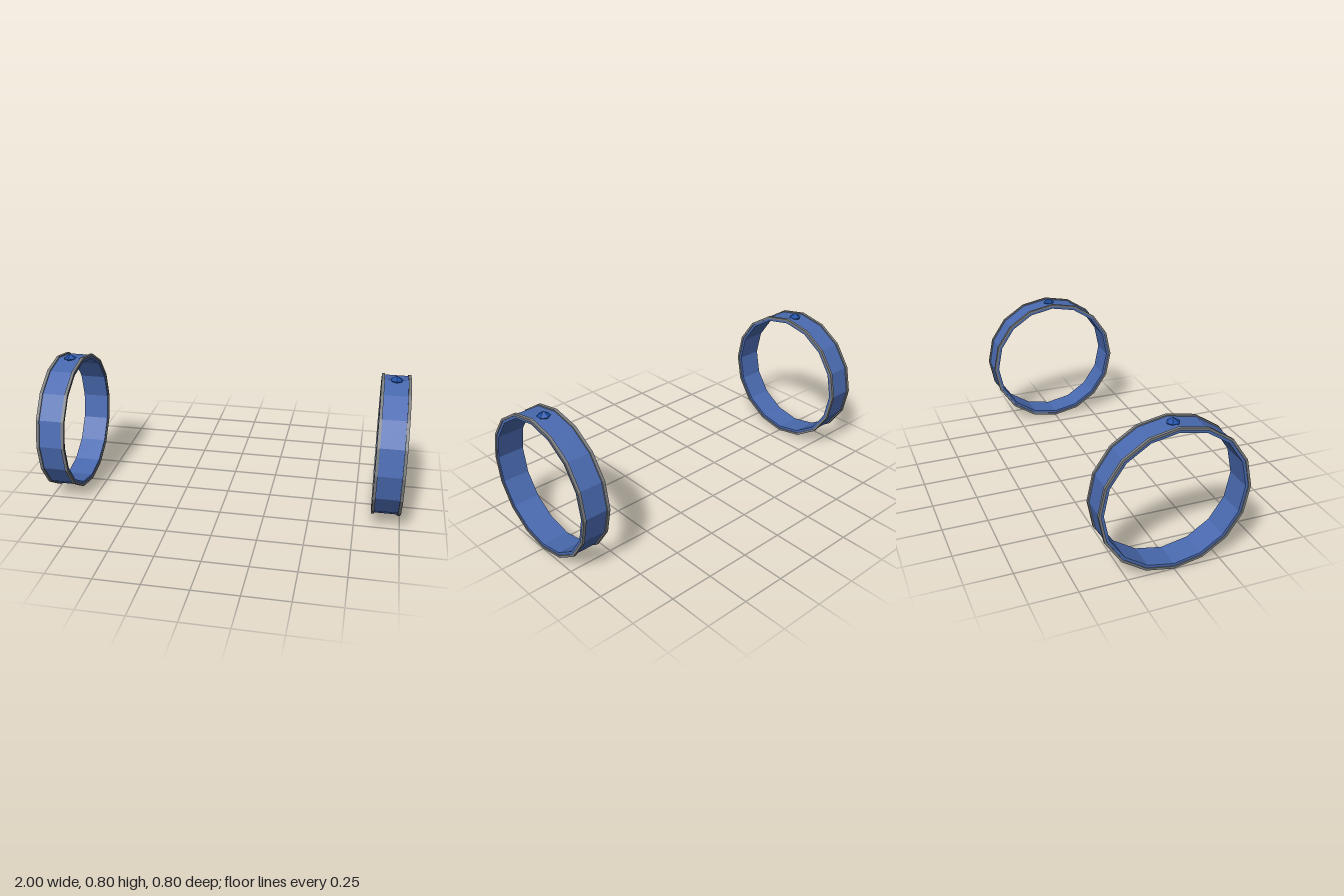
import * as THREE from 'three';

const SIDES = 16;
const CENTER_Y = 0.3935;

// Faceted ring about the x axis with a rectangular section, slightly squashed in y
function hoop(name, inner, outer, x0, x1, material) {
  const profile = [[outer, x0], [outer, x1], [inner, x1], [inner, x0], [outer, x0]]
    .map(([r, x]) => new THREE.Vector2(r, x));
  const geometry = new THREE.LatheGeometry(profile, SIDES);
  geometry.rotateZ(-Math.PI / 2);
  geometry.scale(1, 0.977, 1);
  const mesh = new THREE.Mesh(geometry, material);
  mesh.name = name;
  mesh.position.y = CENTER_Y;
  return mesh;
}

export function createModel() {
  const paint = (color) => new THREE.MeshStandardMaterial({ color, flatShading: true });
  const blue = paint(0x4a6ab0);
  const grey = paint(0x7a7d80);
  const gemBlue = paint(0x1a4fa8);

  const model = new THREE.Group();
  model.name = 'pairOfBands';

  for (const side of [1, -1]) {
    const ring = new THREE.Group();
    ring.name = side > 0 ? 'leftBand' : 'rightBand';
    ring.position.x = side * 0.9205;

    // Wide band with a raised rim along each edge
    ring.add(hoop('band', 0.372, 0.393, -0.075, 0.075, blue));
    ring.add(hoop('outerRim', 0.387, 0.4, 0.063, 0.0795, grey));
    ring.add(hoop('innerRim', 0.387, 0.4, -0.0795, -0.063, grey));

    // Small faceted gem set in the top of the band
    const gemProfile = [[0, 0.762], [0.026, 0.762], [0.035, 0.779], [0, 0.803]]
      .map(([r, y]) => new THREE.Vector2(r, y));
    const gem = new THREE.Mesh(new THREE.LatheGeometry(gemProfile, 6), gemBlue);
    gem.name = 'gem';
    ring.add(gem);

    model.add(ring);
  }
  return model;
}
